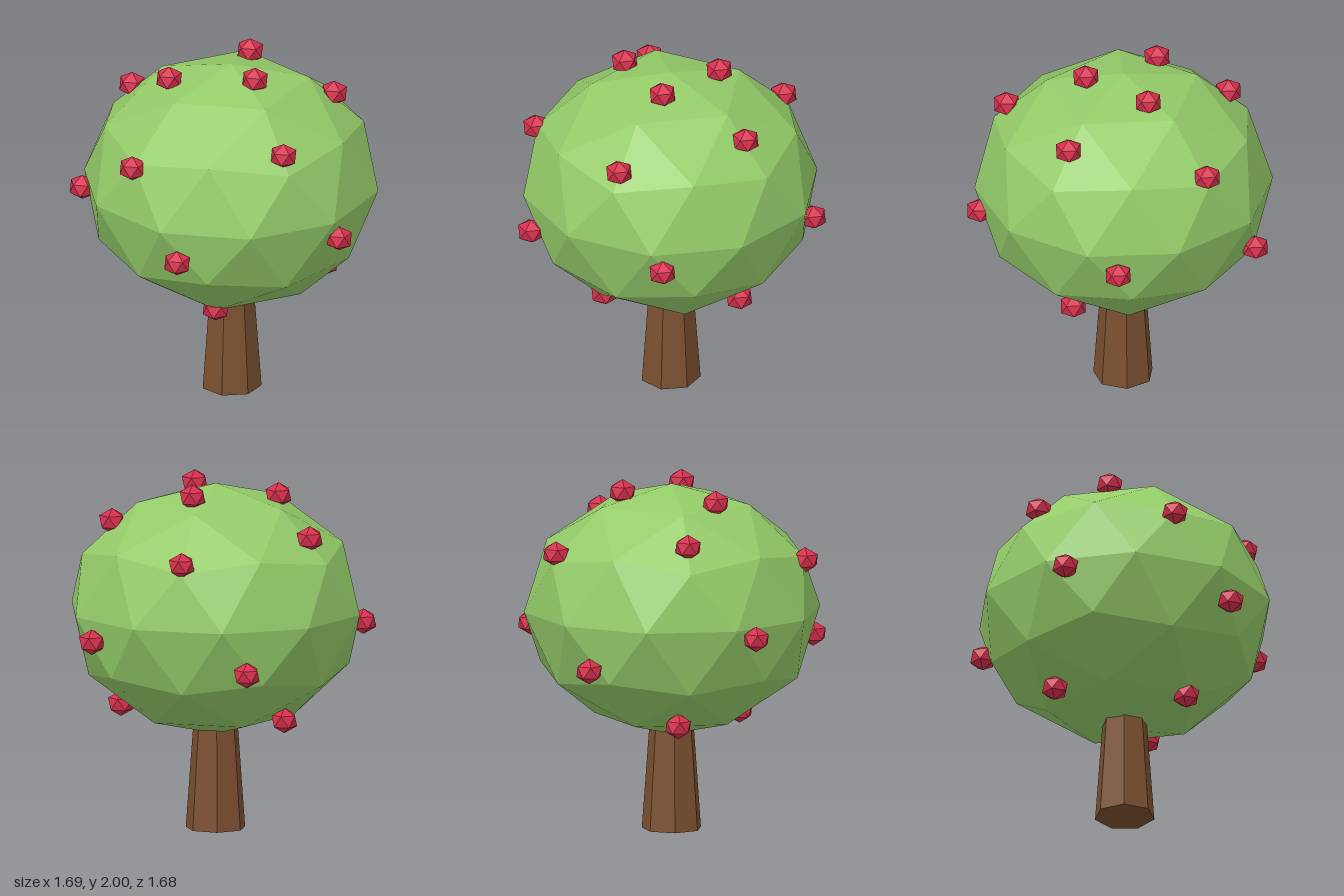
import * as THREE from 'three';

const flat = (name, color) => {
  const m = new THREE.MeshStandardMaterial({ color, flatShading: true });
  m.name = name;
  return m;
};

// Icosphere with a corner straight up and one of the upper ring toward +x
function icosphere(radius, detail, squash) {
  const tilt = Math.atan(2 / (1 + Math.sqrt(5)));
  return new THREE.IcosahedronGeometry(radius, detail).rotateZ(-tilt).scale(1, squash, 1);
}

export function createModel() {
  const leafGreen = flat('leaf green', 0x94cb69);
  const barkBrown = flat('bark brown', 0x7b5030);
  const fruitRed = flat('fruit red', 0xd62f4c);

  const tree = new THREE.Group();
  tree.name = 'fruitTree';
  const add = (name, geometry, material, x, y, z) => {
    const mesh = new THREE.Mesh(geometry, material);
    mesh.name = name;
    mesh.position.set(x, y, z);
    tree.add(mesh);
  };

  // Tapered seven-sided trunk, running up into the crown
  add('trunk', new THREE.CylinderGeometry(0.119, 0.17, 0.7, 7, 1, false, Math.PI),
    barkBrown, 0.04, 0.35, 0);

  // Faceted, slightly flattened crown
  add('crown', icosphere(0.835, 1, 0.85), leafGreen, 0.04, 1.245, 0);

  // Fruits scattered over the crown
  const fruit = icosphere(0.08, 0, 0.9);
  const spots = [
    [0.15, 1.93, 0.18], [0.18, 1.92, -0.25], [-0.31, 1.885, 0], [0.62, 1.745, 0],
    [-0.47, 1.7, -0.37], [0.25, 1.66, 0.64], [0.26, 1.61, -0.69], [-0.575, 1.545, 0.44],
    [-0.78, 1.19, -0.14], [0.75, 1.13, -0.41], [0.565, 1.13, 0.62], [-0.36, 1.07, 0.71],
    [-0.1, 1.0, -0.78], [0.57, 0.71, 0], [-0.33, 0.66, -0.31], [-0.1, 0.64, 0.39],
  ];
  for (const [x, y, z] of spots) add('fruit', fruit, fruitRed, x, y, z);

  return tree;
}
